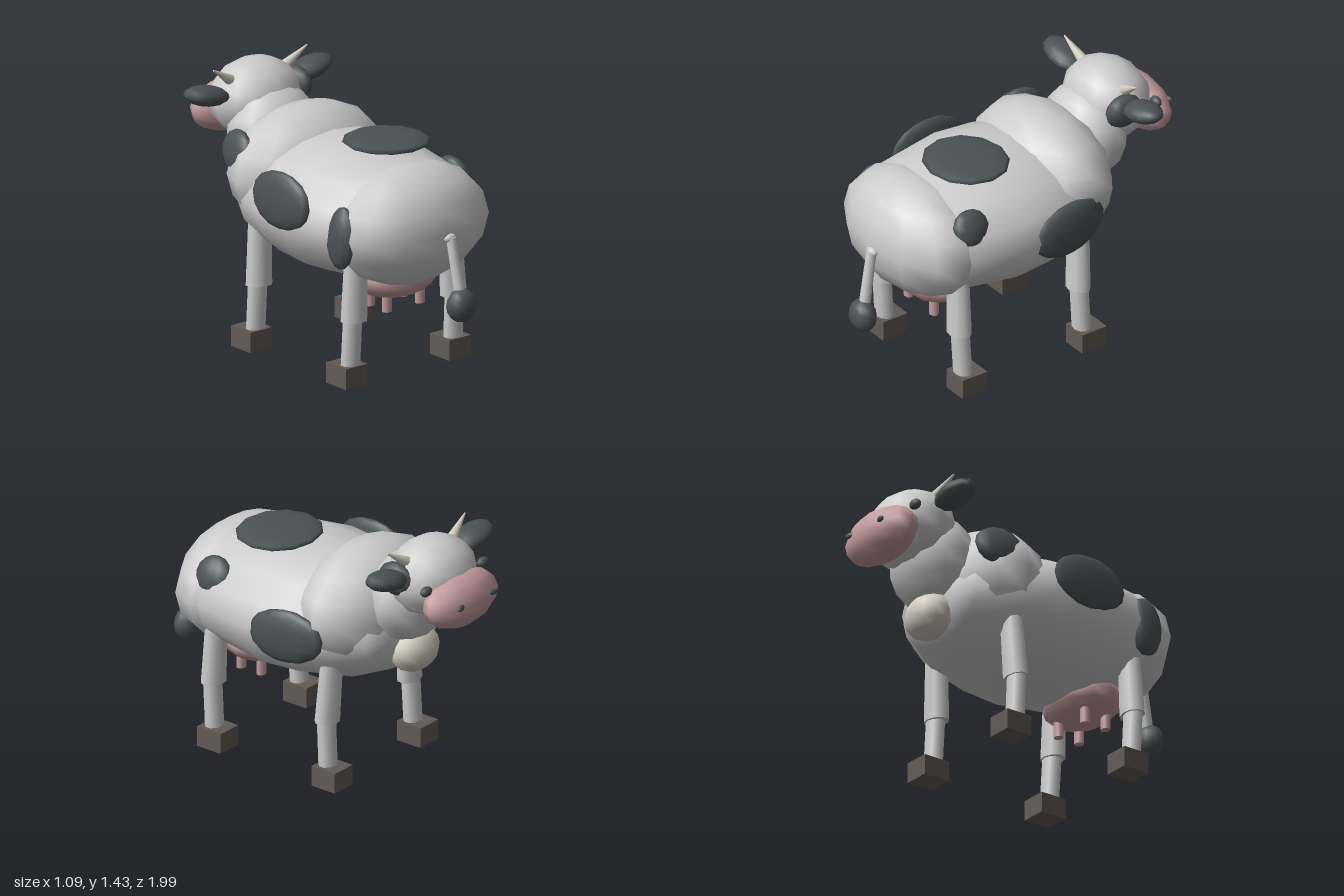
import * as THREE from 'three';

const mat = (color) => new THREE.MeshStandardMaterial({ color });

export function createModel() {
  const cow = new THREE.Group();
  cow.name = 'cow';
  const hide = mat(0xcccccc), dark = mat(0x4b5254), pink = mat(0xc39a9e);
  const hoofMat = mat(0x625a54), horn = mat(0xd0cabd);

  const add = (name, geo, material, pos = [0, 0, 0], rot = [0, 0, 0]) => {
    const m = new THREE.Mesh(geo, material);
    m.name = name;
    m.position.set(...pos);
    m.rotation.set(...rot);
    cow.add(m);
    return m;
  };

  // low-poly, smooth-shaded ellipsoid
  const blob = (name, material, pos, radii, rot) => {
    const m = add(name, new THREE.SphereGeometry(1, 12, 8), material, pos, rot);
    m.scale.set(...radii);
    return m;
  };

  // tapered round limb between two points; squash flattens it along z
  const limb = (name, material, from, to, rFrom, rTo, squash = 1) => {
    const a = new THREE.Vector3(...from), b = new THREE.Vector3(...to);
    const dir = b.clone().sub(a);
    const geo = new THREE.CylinderGeometry(rTo, rFrom, dir.length(), 10);
    geo.scale(1, 1, squash);
    const m = add(name, geo, material, a.clone().add(b).multiplyScalar(0.5).toArray());
    m.quaternion.setFromUnitVectors(new THREE.Vector3(0, 1, 0), dir.normalize());
    return m;
  };

  // barrel: lathe around the z axis, [relative radius, z]
  const profile = [[0, -0.56], [0.36, -0.54], [0.6, -0.48], [0.85, -0.28], [0.96, -0.06],
    [1, 0.17], [0.89, 0.53], [0.62, 0.7], [0, 0.78]];
  const barrel = new THREE.LatheGeometry(profile.map(([r, z]) => new THREE.Vector2(r, z)), 16);
  barrel.rotateX(Math.PI / 2);
  barrel.scale(0.53, 0.36, 1);
  add('barrel', barrel, hide, [0, 0.84, 0]);

  // other body masses
  blob('rump', hide, [0, 0.838, 0.57], [0.485, 0.325, 0.295]);
  blob('shoulders', hide, [0, 0.945, -0.26], [0.49, 0.335, 0.3]);
  blob('neck', hide, [0, 1.055, -0.53], [0.27, 0.26, 0.21], [-0.2, 0, 0]);
  blob('brisket', horn, [0, 0.745, -0.555], [0.16, 0.125, 0.115]);

  // head
  blob('head', hide, [0, 1.21, -0.675], [0.27, 0.213, 0.22]);
  blob('muzzle', pink, [0, 1.125, -0.865], [0.27, 0.148, 0.13], [0.12, 0, 0]);
  for (const s of [-1, 1]) {
    blob('ear', dark, [s * 0.355, 1.293, -0.655], [0.143, 0.055, 0.09], [0, 0, s * 0.2]);
    blob('eye', dark, [s * 0.235, 1.235, -0.825], [0.04, 0.028, 0.026]);
    blob('nostril', dark, [s * 0.13, 1.145, -0.975], [0.032, 0.017, 0.014], [0, s * 0.25, 0]);
    limb('horn', horn, [s * 0.17, 1.33, -0.66], [s * 0.322, 1.43, -0.635], 0.034, 0.004);
  }

  // udder
  blob('udder', pink, [0, 0.53, 0.455], [0.255, 0.125, 0.19]);
  for (const x of [-0.113, 0.113])
    for (const z of [0.385, 0.52]) limb('teat', pink, [x, 0.355, z], [x, 0.5, z], 0.029, 0.029, 0.85);

  // legs: [upper top z, knee z, ankle z, hoof z]
  const legs = { hind: [0.515, 0.522, 0.505, 0.482], front: [-0.262, -0.245, -0.26, -0.288] };
  for (const s of [-1, 1]) {
    for (const [end, [top, knee, ankle, hoof]] of Object.entries(legs)) {
      limb(end + 'UpperLeg', hide, [s * 0.342, 0.355, knee], [s * 0.32, 0.75, top], 0.08, 0.07, 0.74);
      limb(end + 'LowerLeg', hide, [s * 0.353, 0.08, ankle], [s * 0.35, 0.38, knee], 0.058, 0.058, 0.8);
      add(end + 'Hoof', new THREE.BoxGeometry(0.148, 0.113, 0.158), hoofMat, [s * 0.357, 0.0565, hoof]);
    }
  }

  // tail
  blob('tailRoot', hide, [0.03, 0.818, 0.86], [0.04, 0.024, 0.025]);
  limb('tail', hide, [0.05, 0.48, 0.928], [0.033, 0.82, 0.865], 0.032, 0.027);
  blob('tailTuft', dark, [0.048, 0.462, 0.932], [0.088, 0.092, 0.068]);

  // dark hide patches: position, radii, rotation
  [
    [[0.08, 1.2, 0.29], [0.242, 0.034, 0.228], [0, 0, -0.03]],
    [[0.49, 0.85, -0.085], [0.053, 0.15, 0.235], [0.1, 0.08, 0]],
    [[0.39, 1.0, 0.48], [0.055, 0.105, 0.112], [0, 0, 0.4]],
    [[-0.5, 0.95, 0.12], [0.048, 0.155, 0.23], [0, 0, -0.08]],
    [[-0.435, 0.835, 0.535], [0.06, 0.17, 0.1], [0, 0, -0.1]],
    [[-0.375, 1.065, -0.38], [0.05, 0.115, 0.138], [0, -0.22, -0.2]],
    [[0.232, 1.25, -0.62], [0.06, 0.092, 0.11], [0, 0, 0]],
  ].forEach(([p, r, rot]) => blob('hidePatch', dark, p, r, rot));

  return cow;
}
